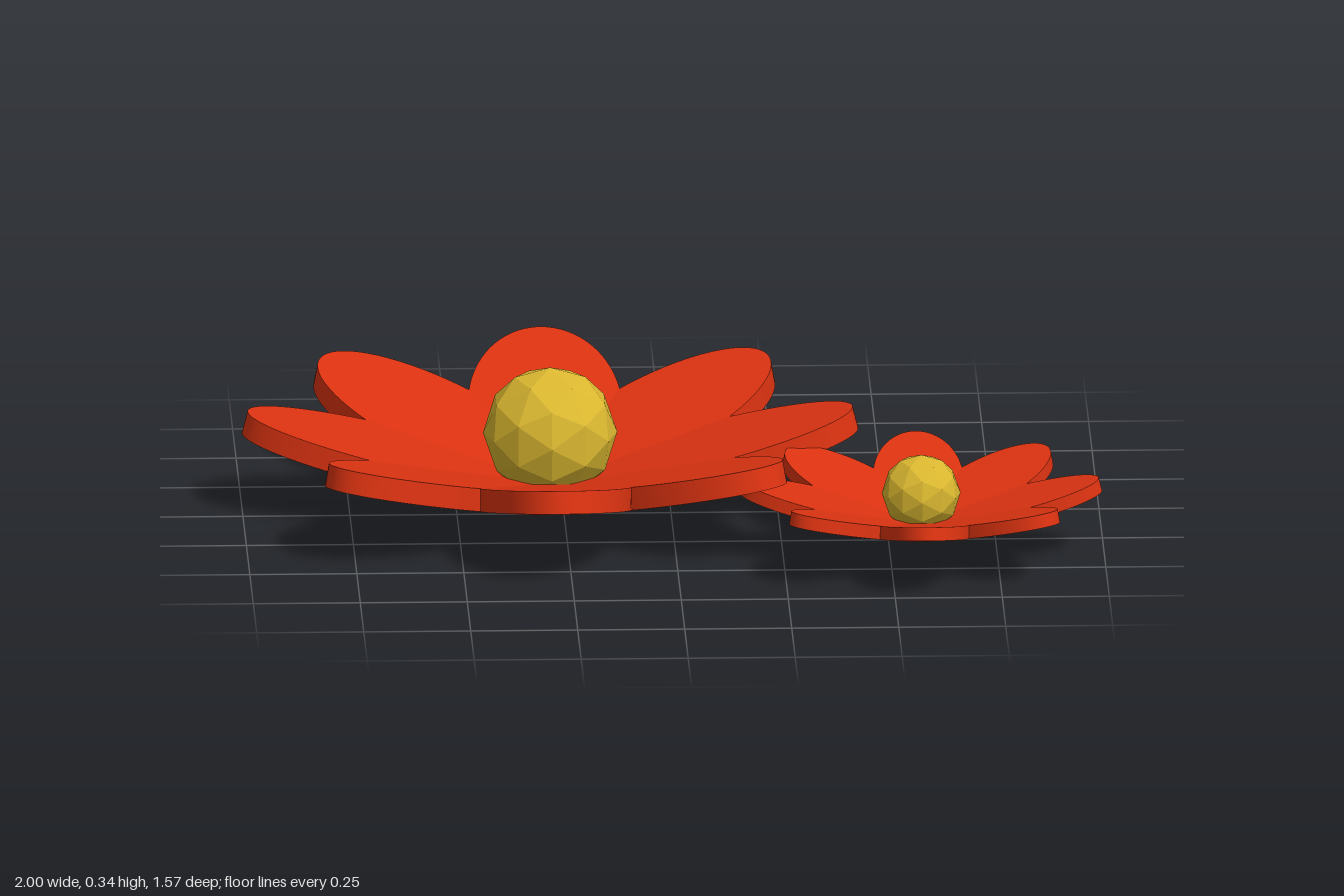
import * as THREE from 'three';
import { toCreasedNormals } from 'three/addons/utils/BufferGeometryUtils.js';

const PETALS = 8;
const TILT = 0.25;

// One elliptical petal running from the flower's axis outwards along +x, tilted up
function petalGeometry() {
  const outline = new THREE.Shape();
  outline.absellipse(0.368, 0, 0.368, 0.18, 0, Math.PI * 2);
  const geometry = new THREE.ExtrudeGeometry(outline, { depth: 0.054, bevelEnabled: false, curveSegments: 48 });
  geometry.rotateX(-Math.PI / 2);
  geometry.rotateZ(TILT);
  geometry.translate(0.007, 0, 0);
  return toCreasedNormals(geometry, 0.6);
}

export function createModel() {
  const red = new THREE.MeshStandardMaterial({ color: 0xdd3311 });
  red.name = 'petal red';
  const yellow = new THREE.MeshStandardMaterial({ color: 0xdab730, flatShading: true });
  yellow.name = 'centre yellow';

  const petalShape = petalGeometry();
  const centreShape = new THREE.IcosahedronGeometry(0.157, 1);

  function makeFlower(name, x, y, z, scale) {
    const flower = new THREE.Group();
    flower.name = name;

    // Ring of petals
    for (let i = 0; i < PETALS; i++) {
      const petal = new THREE.Mesh(petalShape, red);
      petal.name = 'petal';
      petal.rotation.y = (i / PETALS) * Math.PI * 2;
      flower.add(petal);
    }

    // Faceted ball in the middle
    const centre = new THREE.Mesh(centreShape, yellow);
    centre.name = 'flowerCentre';
    centre.position.y = 0.178;
    flower.add(centre);

    flower.position.set(x, y, z);
    flower.scale.setScalar(scale);
    return flower;
  }

  const model = new THREE.Group();
  model.name = 'flowers';
  model.add(makeFlower('largeFlower', -0.28, 0, -0.07, 1));
  model.add(makeFlower('smallFlower', 0.573, 0.04, 0.36, 0.587));
  return model;
}
